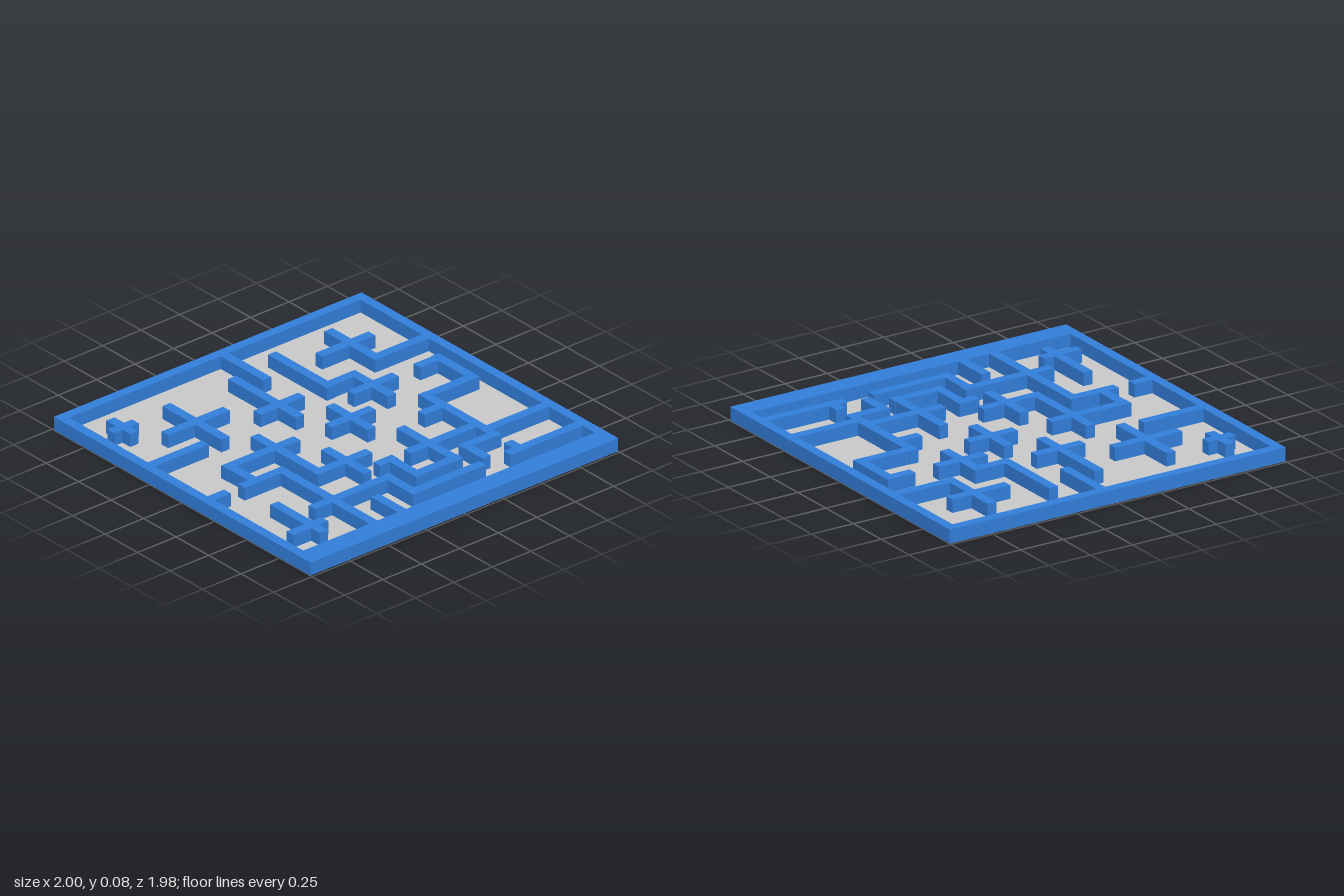
import * as THREE from 'three';

const WIDTH = 0.053, HEIGHT = 0.075, X = 1, Z = 0.988, FLOOR = 0.003;

// Walls running along x: [z, xStart, xEnd]
const ACROSS = [
  [-0.69, -0.88, -0.72], [-0.63, 0.42, 0.765], [-0.5, -0.69, -0.29], [-0.435, 0.6, 0.96],
  [-0.37, -0.2, 0.09], [-0.37, 0.23, 0.455], [-0.3, -0.96, -0.595], [-0.23, 0.29, 0.58],
  [-0.23, 0.72, 0.885], [-0.04, -0.69, -0.22], [-0.04, -0.015, 0.27], [0.03, 0.535, 0.885],
  [0.16, -0.96, -0.84], [0.16, -0.75, -0.465], [0.16, 0.42, 0.585], [0.29, -0.385, -0.03],
  [0.42, -0.09, 0.03], [0.42, 0.11, 0.585], [0.49, 0.535, 0.96], [0.555, -0.625, -0.1],
  [0.555, 0.35, 0.585], [0.62, -0.025, 0.28], [0.69, -0.88, -0.655], [0.75, -0.155, 0.32],
  [0.75, 0.48, 0.96],
];

// Walls running along z: [x, zStart, zEnd]
const ALONG = [
  [-0.8, -0.79, -0.605], [-0.74, 0.4, 0.785], [-0.66, -0.065, 0.185], [-0.49, -0.725, -0.27],
  [-0.49, 0.135, 0.88], [-0.36, -0.2, 0.315], [-0.305, 0.66, 0.88], [-0.18, 0.13, 0.455],
  [-0.13, 0.53, 0.78], [-0.06, -0.73, -0.205], [0, 0.4, 0.65], [0.065, -0.95, -0.605],
  [0.13, -0.2, 0.12], [0.25, 0.2, 0.65], [0.255, -0.795, -0.34], [0.375, 0.53, 0.715],
  [0.43, -0.39, -0.08], [0.56, 0, 0.58], [0.56, 0.66, 0.78], [0.625, -0.8, -0.41],
  [0.86, -0.26, 0.055],
];

export function createModel() {
  const model = new THREE.Group();
  model.name = 'mazeBoard';
  const blue = new THREE.MeshStandardMaterial({ color: 0x3380dd });
  const grey = new THREE.MeshStandardMaterial({ color: 0xcccccc });

  // Box from its plan extents, standing on y0
  const slab = (parent, name, x0, x1, z0, z1, y0 = 0.001, y1 = HEIGHT, material = blue) => {
    const mesh = new THREE.Mesh(new THREE.BoxGeometry(x1 - x0, y1 - y0, z1 - z0), material);
    mesh.position.set((x0 + x1) / 2, (y0 + y1) / 2, (z0 + z1) / 2);
    mesh.name = name;
    parent.add(mesh);
  };

  // Thin floor, just inside the faces of the frame
  slab(model, 'floor', -X + 0.001, X - 0.001, -Z + 0.001, Z - 0.001, 0, FLOOR, grey);

  // Frame, with a wider front rail
  const frame = new THREE.Group();
  frame.name = 'frame';
  slab(frame, 'leftRail', X - WIDTH, X, -Z, Z);
  slab(frame, 'rightRail', -X, -X + WIDTH, -Z, Z);
  slab(frame, 'backRail', -X + WIDTH, X - WIDTH, -Z, -Z + 0.055);
  slab(frame, 'frontRail', -X + WIDTH, X - WIDTH, 0.87, Z);
  model.add(frame);

  // Maze walls
  const walls = new THREE.Group();
  walls.name = 'mazeWalls';
  const h = WIDTH / 2;
  ACROSS.forEach(([z, a, b]) => slab(walls, 'crossWall', a, b, z - h, z + h));
  ALONG.forEach(([x, a, b]) => slab(walls, 'lengthWall', x - h, x + h, a, b));
  model.add(walls);
  return model;
}
